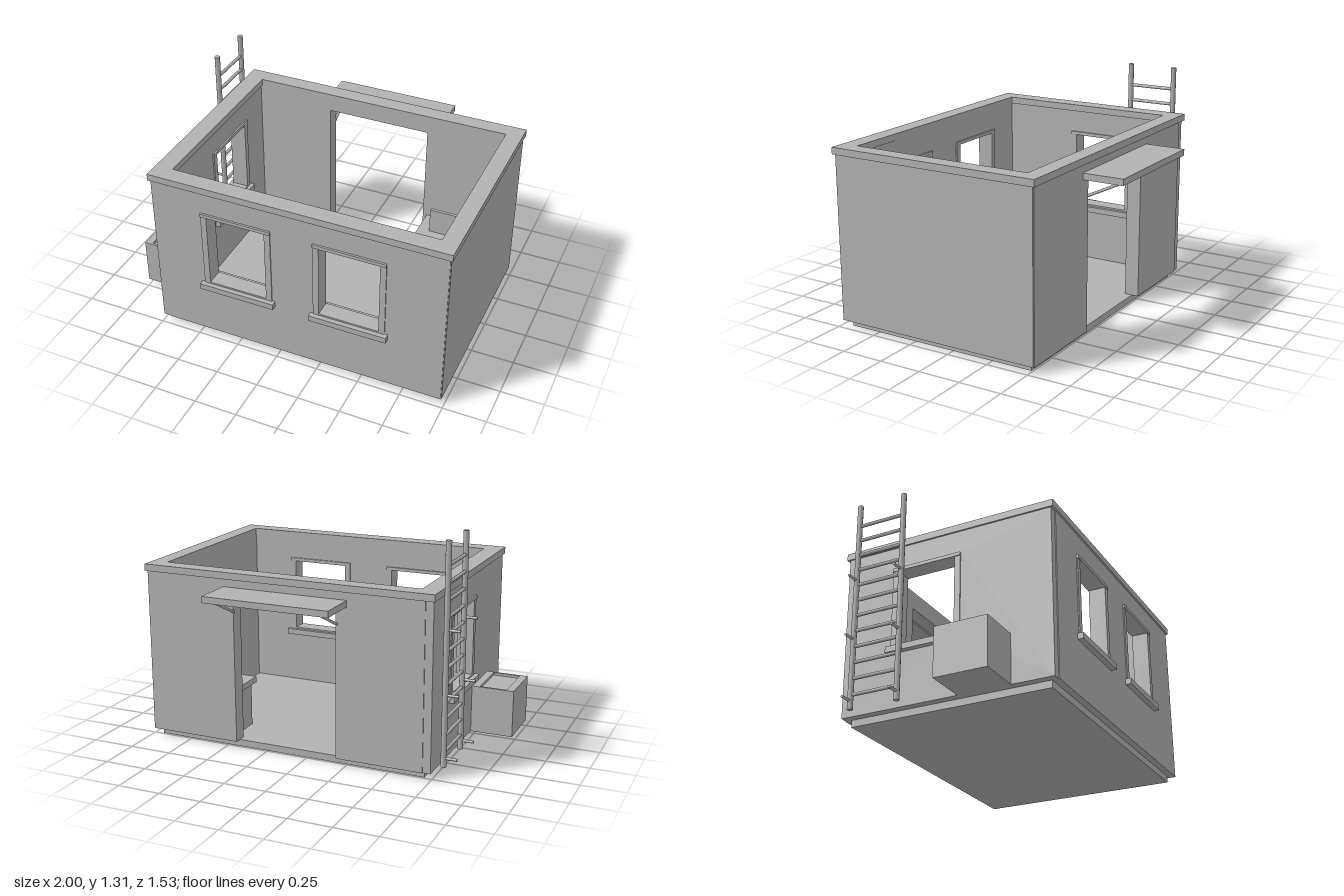
import * as THREE from 'three';

export function createModel() {
  const model = new THREE.Group();
  const grey = new THREE.MeshStandardMaterial({ color: 0xb2b2b2 });
  grey.name = 'plain grey';

  function add(name, geometry, parent = model) {
    const mesh = new THREE.Mesh(geometry, grey);
    mesh.name = name;
    parent.add(mesh);
    return mesh;
  }
  // Box given by its minimum and maximum on each axis
  function box(name, x0, x1, y0, y1, z0, z1, parent = model) {
    const mesh = add(name, new THREE.BoxGeometry(x1 - x0, y1 - y0, z1 - z0), parent);
    mesh.position.set((x0 + x1) / 2, (y0 + y1) / 2, (z0 + z1) / 2);
    return mesh;
  }
  // Round bar between two points
  function bar(name, a, b, radius, parent = model) {
    const from = new THREE.Vector3(...a), to = new THREE.Vector3(...b);
    const dir = to.clone().sub(from);
    const mesh = add(name, new THREE.CylinderGeometry(radius, radius, dir.length(), 10), parent);
    mesh.position.copy(from).add(to).multiplyScalar(0.5);
    mesh.quaternion.setFromUnitVectors(new THREE.Vector3(0, 1, 0), dir.normalize());
    return mesh;
  }
  function rect(Type, x0, x1, y0, y1) {
    const r = new Type();
    r.moveTo(x0, y0);
    r.lineTo(x1, y0);
    r.lineTo(x1, y1);
    r.lineTo(x0, y1);
    r.closePath();
    return r;
  }
  const extrude = (shape, depth) => new THREE.ExtrudeGeometry(shape, { depth, bevelEnabled: false });

  // Wall in local coordinates: inner face at z = 0, outer face at z = depth
  const thick = 0.085;
  function windowWall(name, u0, u1, centres, depth) {
    const group = new THREE.Group();
    group.name = name;
    model.add(group);
    const shape = rect(THREE.Shape, u0, u1, 0.04, 1);
    for (const c of centres) {
      shape.holes.push(rect(THREE.Path, c - 0.21, c + 0.21, 0.39, 0.865));
      for (const s of [-1, 1]) {
        const jamb = box('windowJamb', -0.0175, 0.0175, 0.4, 0.848, -0.008, thick + 0.006, group);
        jamb.position.x = c + s * 0.1925;
      }
      box('windowHeader', c - 0.21, c + 0.21, 0.848, 0.868, -0.01, thick + 0.012, group);
      box('windowBottomRail', c - 0.21, c + 0.21, 0.39, 0.4, -0.008, thick + 0.006, group);
      box('windowSill', c - 0.2275, c + 0.2275, 0.355, 0.39, -0.03, thick + 0.033, group);
    }
    add('wallPanel', extrude(shape, depth), group);
    return group;
  }

  // Floor slab and walls
  box('floorSlab', -0.705, 0.945, 0, 0.04, -0.49, 0.69);
  windowWall('frontWall', -0.705, 0.98, [-0.235, 0.435], thick).position.z = 0.645;
  const rightWall = windowWall('rightWall', -0.525, 0.725, [-0.02], thick);
  rightWall.rotation.y = -Math.PI / 2;
  rightWall.position.x = -0.665;
  box('leftWall', 0.9, 0.985, 0.04, 1, -0.525, 0.725);

  // Back wall with its doorway open to the floor
  box('backWallRight', -0.705, -0.195, 0.04, 1, -0.53, -0.445);
  box('backWallLeft', 0.43, 0.98, 0.04, 1, -0.53, -0.445);
  box('doorLintel', -0.195, 0.43, 0.93, 1, -0.53, -0.445);

  // Rim on top of the walls
  const rimShape = rect(THREE.Shape, -0.76, 0.995, -0.74, 0.54);
  rimShape.holes.push(rect(THREE.Path, -0.655, 0.9, -0.64, 0.445));
  const rim = add('roofRim', extrude(rimShape, 0.04));
  rim.rotation.x = -Math.PI / 2;
  rim.position.y = 1;

  // Awning over the doorway with slanted struts
  box('awning', -0.26, 0.49, 0.918, 0.955, -0.768, -0.53);
  for (const x of [-0.2, 0.43]) bar('awningStrut', [x, 0.815, -0.525], [x, 0.915, -0.73], 0.008);

  // Counter inside, with a screen and a low box on it
  box('counterTop', 0.455, 0.9, 0.305, 0.34, -0.445, -0.225);
  box('counterCabinet', 0.485, 0.9, 0.04, 0.305, -0.445, -0.235);
  box('screen', 0.525, 0.7, 0.34, 0.495, -0.315, -0.295);
  box('deskBox', 0.525, 0.7, 0.34, 0.36, -0.4, -0.35);

  // Utility box beside the building, with a recessed lid
  box('utilityBox', -1, -0.75, 0.04, 0.305, 0.18, 0.485);
  box('utilityRimOuter', -1, -0.955, 0.305, 0.32, 0.18, 0.485);
  box('utilityRimInner', -0.795, -0.75, 0.305, 0.32, 0.18, 0.485);
  for (const z of [0.18, 0.47]) box('utilityRimEnd', -0.955, -0.795, 0.305, 0.32, z, z + 0.015);

  // Ladder with stub brackets
  const ladder = new THREE.Group();
  ladder.name = 'ladder';
  model.add(ladder);
  for (const z of [-0.155, -0.443]) {
    bar('ladderRail', [-0.795, 0.06, z], [-0.795, 1.31, z], 0.016, ladder);
    for (const y of [0.11, 0.47, 0.83]) bar('ladderBracket', [-0.872, y, z], [-0.795, y, z], 0.008, ladder);
  }
  for (let i = 0; i < 12; i++) {
    const y = 1.178 - i * 0.094;
    bar('ladderRung', [-0.795, y, -0.155], [-0.795, y, -0.443], 0.01, ladder);
  }

  return model;
}
